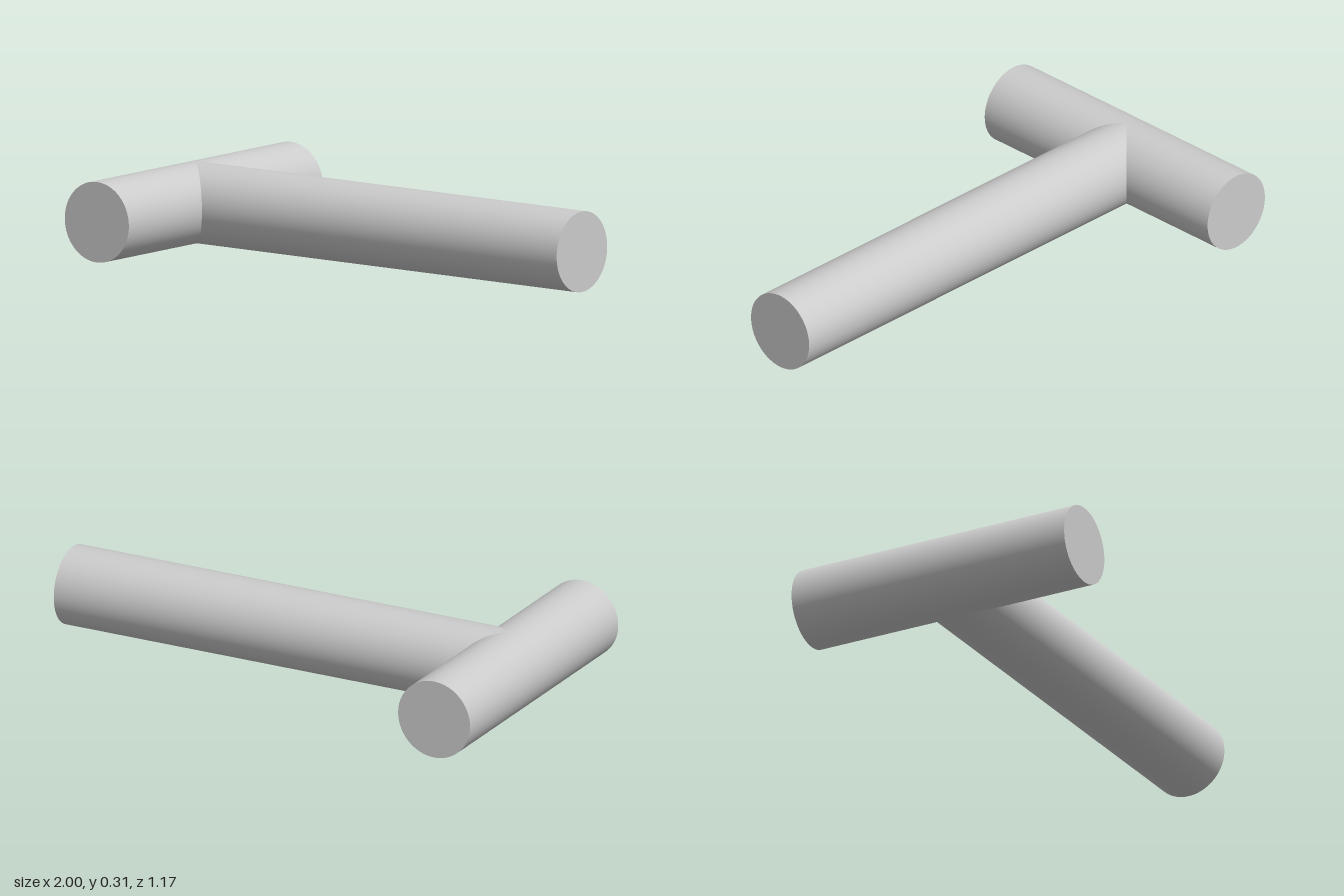
import * as THREE from 'three';

const RADIUS = 0.153;
const BAR_X = -1 + RADIUS;

export function createModel() {
  const group = new THREE.Group();
  const material = new THREE.MeshStandardMaterial({ color: 0xcccccc });

  const addRod = (name, length) => {
    const rod = new THREE.Mesh(new THREE.CylinderGeometry(RADIUS, RADIUS, length, 96), material);
    rod.name = name;
    group.add(rod);
    return rod;
  };

  // Crossbar running front to back
  const crossbar = addRod('crossbar', 1.174);
  crossbar.rotation.x = Math.PI / 2;
  crossbar.position.set(BAR_X, RADIUS, 0);

  // Stem from the crossbar's axis out to the left end, set slightly off centre
  const stem = addRod('stem', 1 - BAR_X);
  stem.rotation.z = -Math.PI / 2;
  stem.position.set((1 + BAR_X) / 2, RADIUS, -0.008);

  return group;
}
